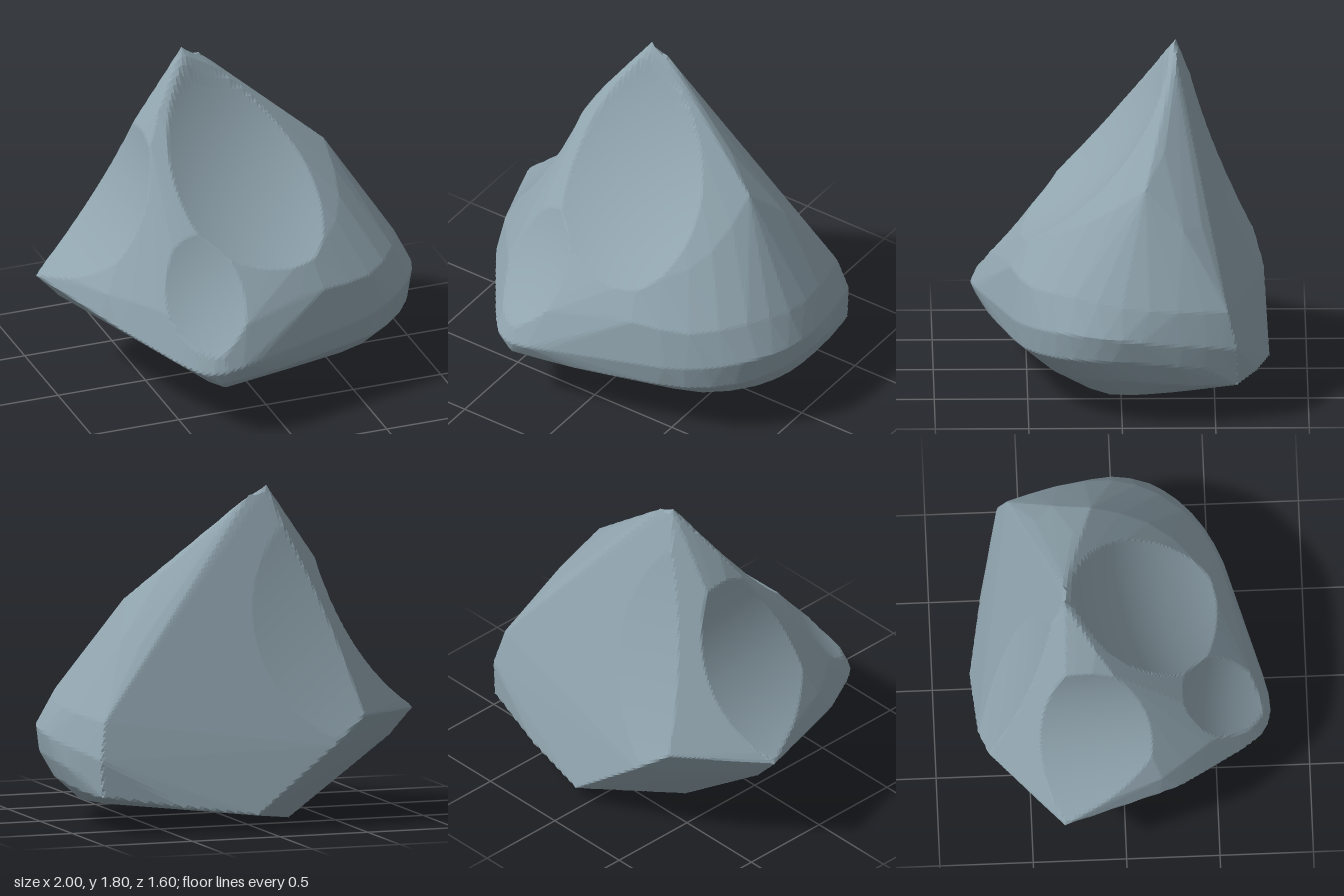
import * as THREE from 'three';
import { ConvexGeometry } from 'three/addons/geometries/ConvexGeometry.js';
import { mergeVertices } from 'three/addons/utils/BufferGeometryUtils.js';

const vec = (p) => new THREE.Vector3(...p);
const curve = (points, n) => new THREE.CatmullRomCurve3(points.map(vec)).getPoints(n);

// Rounded contours running from the left tip around the front to the back edge
const widest = [[-1, .57, -.33], [-.87, .54, .05], [-.78, .51, .3], [-.62, .44, .53], [-.47, .38, .74],
  [-.33, .39, .8], [-.15, .41, .77], [.2, .44, .66], [.5, .45, .58], [.7, .47, .48], [.85, .49, .35],
  [.95, .5, .2], [1, .49, 0], [.98, .46, -.2], [.93, .43, -.45], [.88, .4, -.62]];
const shoulder = [[-.79, .66, .2], [-.6, .65, .45], [-.35, .56, .72], [0, .66, .63], [.3, .68, .59],
  [.6, .66, .48], [.82, .68, .25], [.92, .65, 0], [.91, .62, -.3], [.84, .6, -.57]];
const brow = [[-.5, .98, .2], [-.25, .9, .37], [.2, .87, .49], [.42, .9, .37], [.55, 1.02, .15], [.57, 1.2, -.13]];
const belly = [[-.36, .31, .77], [0, .31, .7], [.3, .32, .62], [.6, .32, .52], [.82, .34, .36],
  [.95, .36, .15], [.98, .36, -.05], [.96, .33, -.3], [.89, .3, -.57]];
const lowerBelly = [[-.28, .21, .62], [0, .22, .56], [.3, .2, .47], [.6, .19, .36], [.82, .21, .17],
  [.92, .24, 0], [.92, .22, -.25], [.89, .2, -.5], [.87, .2, -.62]];
const base = [[-.28, .13, .38], [0, .1, .35], [.3, .085, .28], [.6, .07, .12], [.8, .12, -.08], [.76, .13, -.35]];

// Ridges and sharp corners
const ridges = [
  [-.18, 1.8, -.3], [-.08, 1.75, -.3], [.01, 1.67, -.3], [.1, 1.58, -.3], [.38, 1.35, -.23], [.57, 1.2, -.13],
  [-.45, 1.38, -.05], [-.37, 1.53, -.14], [-.28, 1.66, -.24],
  [.4, 1.27, -.31], [.58, 1, -.43], [.66, 1, -.33], [.78, .7, -.53], [.87, .2, -.62],
  [-1, .56, -.33], [-.98, .62, -.32], [-.87, .42, -.33], [-.58, .59, -.73], [-.4, .44, -.775],
  [.05, .09, -.8], [-.3, 0, -.32], [.45, .14, -.73]].map(vec);

// Shell-shaped fractures: deepest point, outward direction, radius, stretch along z
const hollows = [
  [[-.66, .88, -.15], [-.8, .58, 0], 1.13, 3],       // left flank
  [[-.1, 1.155, .09], [.15, .68, .72], 1.6, 1],      // front
  [[-.36, .76, .46], [-.3, .55, .78], 1.2, 1],       // front left
  [[-.2, .95, -.56], [0, .34, -.94], 5, 1],          // back
].map(([p, n, r, stretch]) => ({
  center: vec(p).addScaledVector(vec(n).normalize(), r),
  radii: vec([r, r, r * stretch]),
}));

const heart = vec([0, .6, -.1]);

// Outer planes of the convex block
function blockPlanes() {
  const pos = new ConvexGeometry([
    ...curve(widest, 30), ...curve(shoulder, 18), ...curve(brow, 9), ...curve(belly, 16),
    ...curve(lowerBelly, 16), ...curve(base, 9), ...ridges]).attributes.position;
  const planes = [];
  for (let i = 0; i < pos.count; i += 3) {
    const tri = new THREE.Triangle().setFromAttributeAndIndices(pos, i, i + 1, i + 2);
    if (tri.getArea() > 1e-5) planes.push(tri.getPlane(new THREE.Plane()));
  }
  return planes;
}

// Distance from the heart to the stone's surface along a direction
function surfaceDistance(dir, planes) {
  let dist = Infinity;
  for (const plane of planes) {
    const slope = plane.normal.dot(dir);
    if (slope > 1e-6) dist = Math.min(dist, -plane.distanceToPoint(heart) / slope);
  }
  for (const { center, radii } of hollows) {
    const to = center.clone().sub(heart).divide(radii);
    const step = dir.clone().divide(radii);
    const a = step.lengthSq(), b = to.dot(step);
    const inside = b * b - a * (to.lengthSq() - 1);
    if (b > 0 && inside > 0) dist = Math.min(dist, (b - Math.sqrt(inside)) / a);
  }
  return dist;
}

function stoneGeometry() {
  const ball = new THREE.IcosahedronGeometry(1, 58);
  ball.deleteAttribute('normal');
  ball.deleteAttribute('uv');
  const mesh = mergeVertices(ball, 1e-5);
  const pos = mesh.attributes.position;
  const dirs = Array.from({ length: pos.count }, (_, i) => new THREE.Vector3().fromBufferAttribute(pos, i));

  // Aim the nearest vertex exactly at each corner so it stays sharp
  for (const corner of ridges) {
    const aim = corner.clone().sub(heart).normalize();
    dirs.reduce((best, d) => (d.dot(aim) > best.dot(aim) ? d : best)).copy(aim);
  }

  const planes = blockPlanes();
  dirs.forEach((d, i) => {
    const p = heart.clone().addScaledVector(d, surfaceDistance(d, planes));
    pos.setXYZ(i, p.x, p.y, p.z);
  });
  const faceted = mesh.toNonIndexed();
  faceted.computeVertexNormals(); // unshared corners keep the facets flat
  return faceted;
}

export function createModel() {
  const stone = new THREE.MeshStandardMaterial({ color: 0x90a4ae });
  stone.name = 'blueGreyStone';
  const rock = new THREE.Mesh(stoneGeometry(), stone);
  rock.name = 'rock';
  const group = new THREE.Group();
  group.name = 'boulder';
  group.add(rock);
  return group;
}
